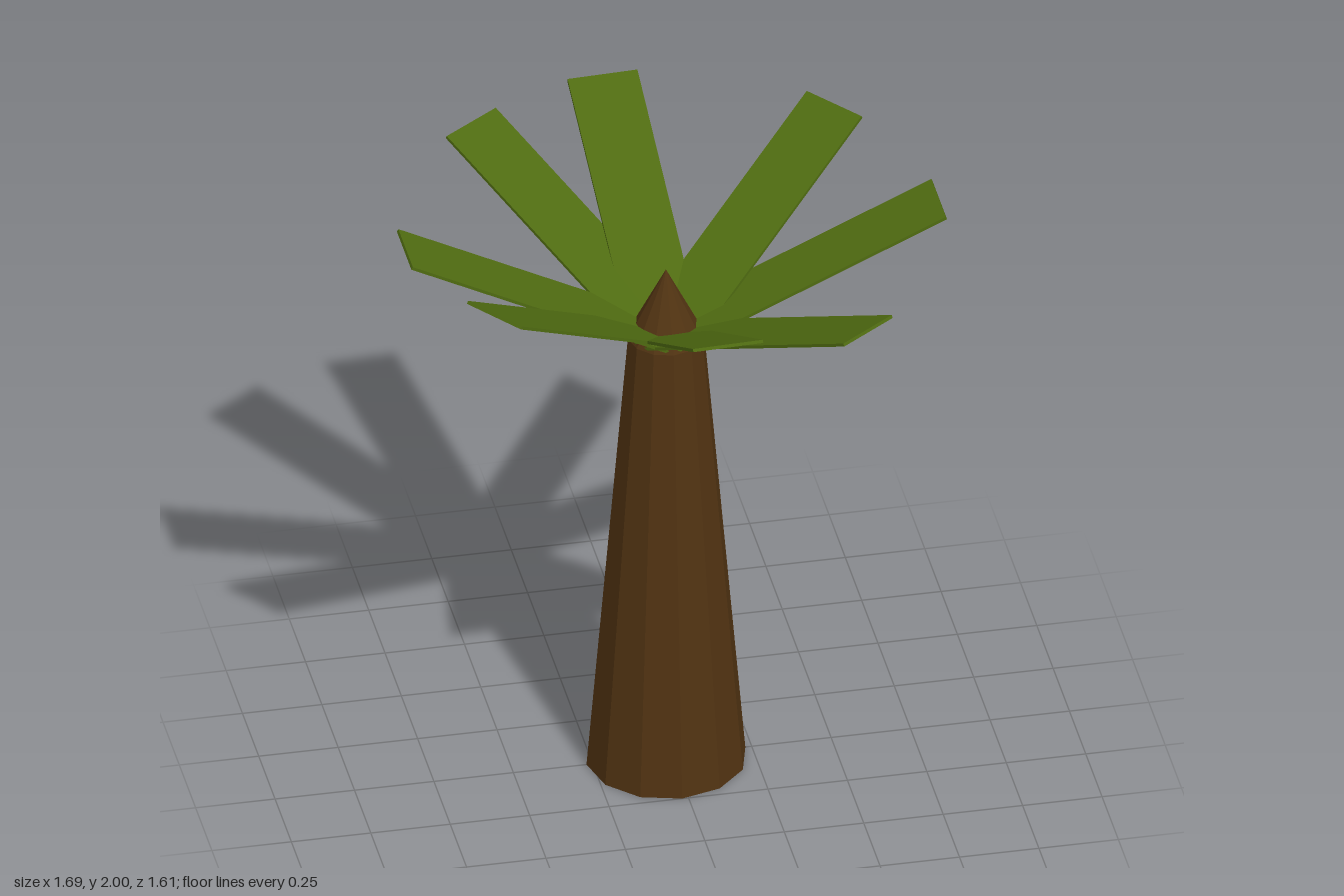
import * as THREE from 'three';

export function createModel() {
  const model = new THREE.Group();
  const bark = new THREE.MeshStandardMaterial({ color: 0x513312, flatShading: true });
  bark.name = 'bark brown';
  const green = new THREE.MeshStandardMaterial({ color: 0x4f6b11, flatShading: true });
  green.name = 'leaf green';

  const AXIS_X = -0.02, TOP = 1.54, SIDES = 12;

  // Tapered trunk
  const trunk = new THREE.Mesh(new THREE.CylinderGeometry(0.12, 0.25, TOP, SIDES), bark);
  trunk.name = 'trunk';
  trunk.position.set(AXIS_X, TOP / 2, 0);
  model.add(trunk);

  // Pointed crown between the leaves
  const tip = new THREE.Mesh(new THREE.ConeGeometry(0.12, 0.24, SIDES), bark);
  tip.name = 'trunkTip';
  tip.position.set(AXIS_X, TOP + 0.12, 0);
  model.add(tip);

  // Flat leaves: heading around the trunk (from +x towards +z), pitch, length
  const leaves = [
    [0, 24.2, 0.943], [54, 24.2, 0.925], [87.7, 29.7, 0.92], [143, 29.7, 0.92],
    [180, 27, 0.922], [234.5, 27, 0.922], [267.4, 29.7, 0.92], [322.2, 29.7, 0.92],
  ];
  const crown = new THREE.Group();
  crown.name = 'leafCrown';
  crown.position.set(AXIS_X, TOP, 0);
  for (const [heading, pitch, length] of leaves) {
    const geometry = new THREE.BoxGeometry(length, 0.01, 0.222).translate(length / 2, 0, 0);
    const leaf = new THREE.Mesh(geometry, green);
    leaf.name = 'leaf';
    leaf.rotation.set(0, -THREE.MathUtils.degToRad(heading), THREE.MathUtils.degToRad(pitch), 'YZX');
    crown.add(leaf);
  }
  model.add(crown);
  return model;
}
